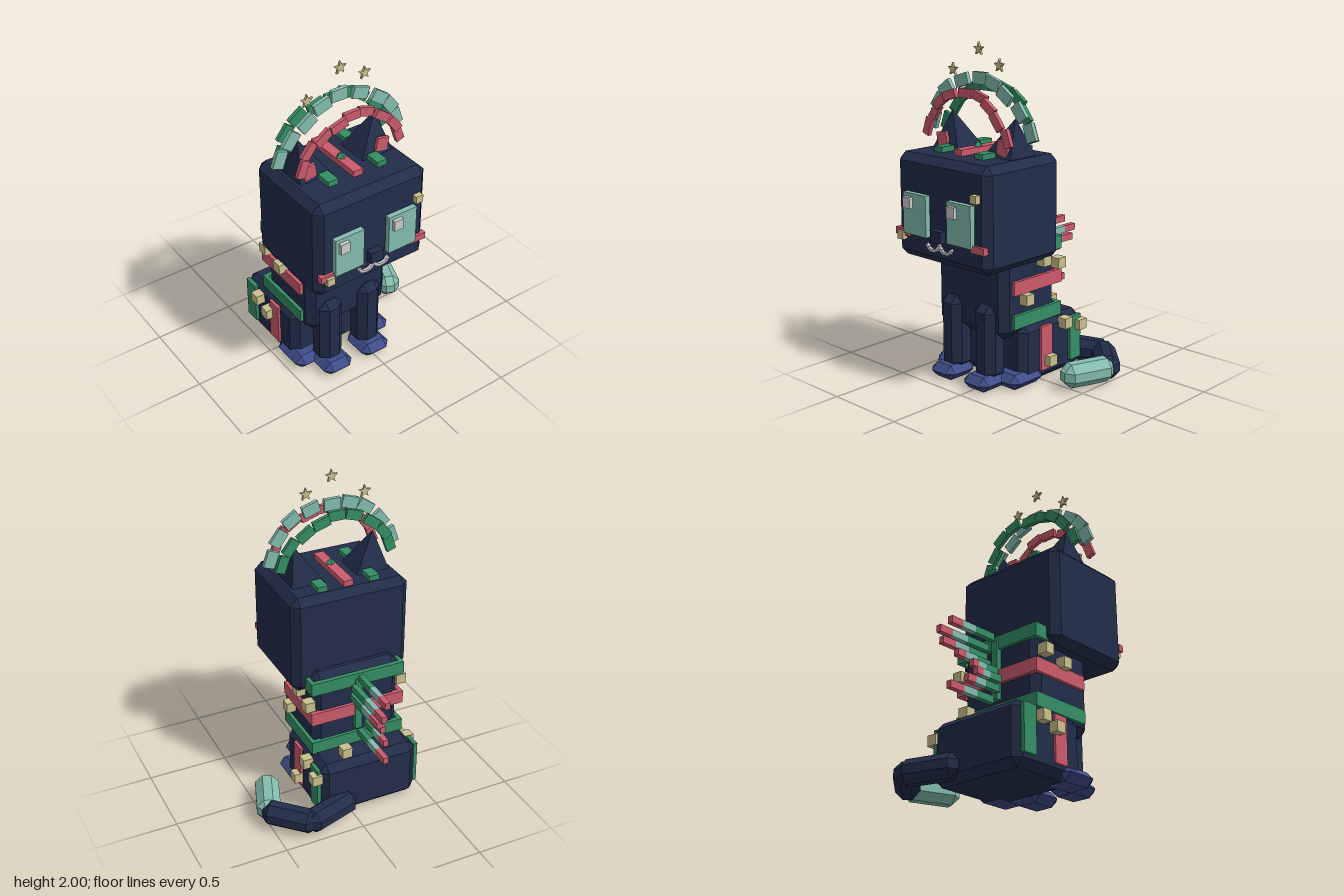
import * as THREE from 'three';
import { ConvexGeometry } from 'three/addons/geometries/ConvexGeometry.js';

const CX = -0.122; // mirror plane of the cat's body

function mat(name, color) {
  const m = new THREE.MeshStandardMaterial({ color });
  m.name = name;
  return m;
}

// Box with every edge and corner cut off
function chamferBox(w, h, d, c = 0.045) {
  const pts = [];
  for (const sx of [-1, 1]) for (const sy of [-1, 1]) for (const sz of [-1, 1]) {
    const x = w / 2, y = h / 2, z = d / 2;
    pts.push(new THREE.Vector3(sx * x, sy * (y - c), sz * (z - c)));
    pts.push(new THREE.Vector3(sx * (x - c), sy * y, sz * (z - c)));
    pts.push(new THREE.Vector3(sx * (x - c), sy * (y - c), sz * z));
  }
  return new ConvexGeometry(pts);
}

export function createModel() {
  const navy = mat('navy fur', 0x222d4a);
  const blue = mat('paw blue', 0x3f4c88);
  const teal = mat('pale teal', 0x84bdae);
  const green = mat('green', 0x358e65);
  const pink = mat('coral pink', 0xcc5b6d);
  const gold = mat('pale gold', 0xcbc08e);
  const white = mat('soft white', 0xcccccc);

  const model = new THREE.Group();
  model.name = 'cat';
  const add = (name, geo, m, x, y, z, parent = model) => {
    const mesh = new THREE.Mesh(geo, m);
    mesh.name = name;
    mesh.position.set(x, y, z);
    parent.add(mesh);
    return mesh;
  };
  const box = (name, m, x, y, z, w, h, d, parent) =>
    add(name, new THREE.BoxGeometry(w, h, d), m, x, y, z, parent);
  const group = (name) => {
    const g = new THREE.Group();
    g.name = name;
    model.add(g);
    return g;
  };

  // Body masses
  add('head', chamferBox(0.748, 0.615, 0.606), navy, CX, 1.066, 0.218);
  add('torso', chamferBox(0.564, 0.59, 0.453), navy, CX, 0.605, 0.074);
  add('haunches', chamferBox(0.636, 0.37, 0.525), navy, CX, 0.19, -0.083);

  // Paired parts
  for (const s of [-1, 1]) {
    const side = s > 0 ? 'left' : 'right';
    add(side + 'FrontLeg', chamferBox(0.16, 0.46, 0.16), navy, CX + s * 0.138, 0.28, 0.27);
    add(side + 'FrontPaw', chamferBox(0.2, 0.09, 0.23, 0.043), blue, CX + s * 0.138, 0.048, 0.31);
    add(side + 'BackPaw', chamferBox(0.21, 0.09, 0.27, 0.043), blue, CX + s * 0.239, 0.048, 0.14);

    // Ear: four-sided pyramid leaning outwards
    const ear = new THREE.ConeGeometry(0.163, 0.24, 4, 1).toNonIndexed();
    ear.rotateY(Math.PI / 4);
    const p = ear.attributes.position;
    for (let i = 0; i < p.count; i++) if (p.getY(i) > 0) p.setX(i, p.getX(i) + s * 0.052);
    ear.computeVertexNormals();
    add(side + 'Ear', ear, navy, CX + s * 0.202, 1.47, 0.172);
    const inner = box(side + 'InnerEar', pink, CX + s * 0.243, 1.43, 0.262, 0.08, 0.08, 0.02);
    inner.rotation.z = -s * 0.18;

    // Face
    box(side + 'Eye', teal, CX + s * 0.18, 1.034, 0.535, 0.19, 0.243, 0.036);
    box(side + 'EyeGlint', white, CX + s * 0.18 - 0.044, 1.1, 0.56, 0.06, 0.066, 0.03);
    box(side + 'Cheek', pink, CX + s * 0.307, 0.91, 0.52, 0.106, 0.042, 0.036);
    for (let i = 0; i < 6; i++) {
      const a = Math.PI * (0.05 + 0.18 * i);
      const dash = box(side + 'MouthDash', white, CX + s * (0.052 - Math.cos(a) * 0.042),
        0.868 - Math.sin(a) * 0.026, 0.528, 0.024, 0.016, 0.02);
      dash.rotation.z = s * (0.6 * Math.cos(a)) * -1;
    }

    // Upright stripes on the haunches
    box(side + 'PinkHaunchStripe', pink, CX + s * 0.323, 0.21, -0.013, 0.02, 0.275, 0.096);
    box(side + 'GreenHaunchStripe', green, CX + s * 0.325, 0.21, -0.265, 0.024, 0.275, 0.096);

    // Pads on the crown of the head
    for (const z of [0.018, 0.325])
      box(side + 'CrownPad', green, CX + s * 0.164, 1.388, z, 0.064, 0.034, 0.1);
  }
  box('nose', navy, CX, 0.935, 0.54, 0.084, 0.07, 0.045);
  box('mouthLine', white, CX, 0.884, 0.528, 0.014, 0.05, 0.02);
  box('crownStripe', pink, CX, 1.39, 0.173, 0.062, 0.038, 0.407);
  add('crownGem', new THREE.OctahedronGeometry(0.032).toNonIndexed(), green, CX, 1.41, 0.215);

  // Bands round the sides and back of the torso
  for (const [name, m, y] of [['upperBand', green, 0.822], ['middleBand', pink, 0.615], ['lowerBand', green, 0.412]]) {
    const g = group(name);
    for (const s of [-1, 1]) box('bandSide', m, CX + s * 0.291, y, 0.035, 0.024, 0.082, 0.4, g);
    box('bandBack', m, CX, y, -0.157, 0.606, 0.082, 0.03, g);
  }

  // Spine strip and striped quills; each row gives the three z ends
  box('spineStrip', green, CX, 0.655, -0.166, 0.045, 0.35, 0.034);
  const quills = group('quills');
  [
    [-0.347, -0.447, -0.532], [-0.368, -0.484, -0.576], [-0.347, -0.447, -0.542], [-0.31, -0.394, -0.458],
    [-0.288, -0.347, -0.389], [-0.288, -0.341, -0.389], [-0.31, -0.384, -0.447], [-0.331, -0.431, -0.532],
  ].forEach((ends, i) => {
    const x = CX + 0.055 * Math.sin((2 * Math.PI * i) / 7);
    let start = -0.2;
    ends.forEach((end, k) => {
      box('quillPart', [green, teal, pink][k], x, 0.847 - i * 0.054, (start + end) / 2,
        0.034, 0.042, start - end, quills);
      start = end;
    });
  });

  // Tail: chamfered lengths laid between points (x, z)
  const tail = group('tail');
  const path = [[0.02, -0.335], [0.305, -0.425], [0.497, -0.235], [0.4, 0.03]];
  for (let i = 0; i < 3; i++) {
    const [x0, z0] = path[i], [x1, z1] = path[i + 1];
    const len = Math.hypot(x1 - x0, z1 - z0) + (i === 2 ? 0.05 : 0.07);
    const seg = add(i === 2 ? 'tailTip' : 'tailLength', chamferBox(0.144, 0.144, len), i === 2 ? teal : navy,
      (x0 + x1) / 2, 0.093, (z0 + z1) / 2, tail);
    seg.rotation.y = Math.atan2(x1 - x0, z1 - z0);
  }

  // Three arches of blocks over the head
  const arches = [
    ['pinkArch', pink, 0.335, 0.052, 0.315, 1.2],
    ['tealArch', teal, 0.41, 0.07, 0.215, 0],
    ['greenArch', green, 0.363, 0.06, 0.118, 2.4],
  ];
  for (const [name, m, r, thick, z, phase] of arches) {
    const g = group(name);
    for (let i = 0; i < 9; i++) {
      const a = THREE.MathUtils.degToRad(20 + 17.5 * i);
      const b = box('archBlock', m, CX + r * Math.cos(a), 1.385 + r * Math.sin(a),
        z - 0.022 * Math.cos(i * Math.PI / 2 + phase), 0.104, thick, 0.025, g);
      b.rotation.z = a - Math.PI / 2;
    }
  }

  // Stars above the arches
  const star = new THREE.Shape();
  for (let i = 0; i < 10; i++) {
    const a = Math.PI / 2 + (i * Math.PI) / 5, r = i % 2 ? 0.017 : 0.04;
    star[i ? 'lineTo' : 'moveTo'](r * Math.cos(a), r * Math.sin(a));
  }
  const starGeo = new THREE.ExtrudeGeometry(star, { depth: 0.014, bevelEnabled: false });
  for (const [x, y] of [[CX, 1.96], [-0.334, 1.83], [0.038, 1.878]]) add('star', starGeo, gold, x, y, 0.196);

  // Gold studs on the body, then two small ones on the face
  const studs = group('studs');
  for (const [x, y, z] of [
    [0.187, 0.745, -0.005], [0.187, 0.705, -0.135], [0.187, 0.54, 0.14], [0.218, 0.33, -0.165],
    [0.218, 0.29, -0.295], [0.218, 0.13, -0.03], [0.007, 0.405, -0.265],
    [-0.432, 0.715, -0.1], [-0.432, 0.675, 0.05], [-0.465, 0.3, -0.17], [-0.465, 0.262, -0.06],
  ]) box('stud', gold, x, y, z, 0.064, 0.064, 0.064, studs);
  box('faceStud', gold, 0.172, 1.195, 0.533, 0.047, 0.047, 0.04);
  box('faceStud', gold, -0.426, 0.891, 0.536, 0.047, 0.047, 0.04);

  return model;
}
